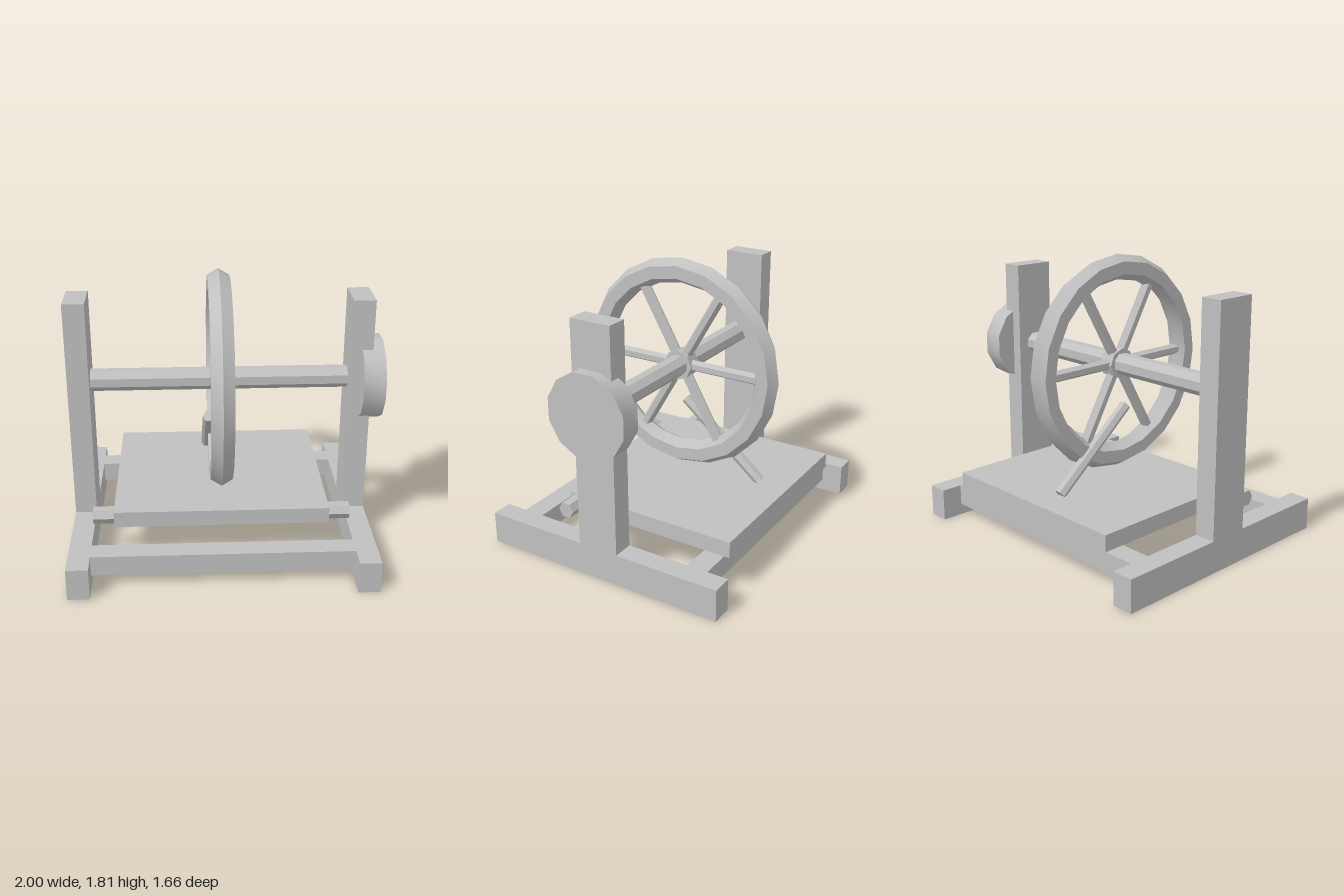
import * as THREE from 'three';
import { toCreasedNormals } from 'three/addons/utils/BufferGeometryUtils.js';

export function createModel() {
  const model = new THREE.Group();
  model.name = 'treadleWheel';
  const grey = new THREE.MeshStandardMaterial({ color: 0xc0c0c0 });
  grey.name = 'plain grey';

  const add = (name, geometry, parent = model) => {
    const mesh = new THREE.Mesh(toCreasedNormals(geometry, 0.6), grey);
    mesh.name = name;
    parent.add(mesh);
    return mesh;
  };

  // Box given by its limits on each axis
  const box = (name, x0, x1, y0, y1, z0, z1) =>
    add(name, new THREE.BoxGeometry(x1 - x0, y1 - y0, z1 - z0))
      .position.set((x0 + x1) / 2, (y0 + y1) / 2, (z0 + z1) / 2);

  // Prism lying along x, with its first corner turned by the given angle
  const rod = (name, x0, x1, y, z, radius, sides, turn = 0) => {
    const g = new THREE.CylinderGeometry(radius, radius, x1 - x0, sides);
    g.rotateY(turn).rotateZ(Math.PI / 2);
    add(name, g).position.set((x0 + x1) / 2, y, z);
  };

  const left = -0.86, right = 0.79, thick = 0.138, axleY = 1.108;

  // Frame: two uprights on feet, joined by two rails
  for (const x of [left - thick, right]) {
    box('foot', x, x + thick, 0, 0.21, -0.828, 0.828);
    box('upright', x, x + thick, 0.21, 1.66, -0.137, 0.137);
  }
  for (const z of [-0.62, 0.617]) box('rail', left, right, 0.075, 0.209, z - 0.068, z + 0.068);

  // Treadle board on its pivot
  box('treadle', -0.725, 0.655, 0.255, 0.36, -0.76, 0.412);
  rod('treadlePivot', left, right, 0.308, 0.346, 0.055, 6);

  // Main axle and end disc
  rod('axle', left, right, axleY, 0, 0.072, 8, Math.PI / 8);
  rod('endDisc', 0.86, 1, axleY, 0, 0.274, 12, Math.PI / 12);

  // Flywheel: hexagonal rim, hub and six spokes
  const wheel = new THREE.Group();
  wheel.name = 'flywheel';
  wheel.position.set(-0.035, axleY, 0);
  model.add(wheel);
  add('rim', new THREE.TorusGeometry(0.62, 0.081, 6, 20).rotateY(Math.PI / 2), wheel);
  add('hub', new THREE.CylinderGeometry(0.1, 0.1, 0.1, 8).rotateZ(Math.PI / 2), wheel);
  for (let i = 0; i < 6; i++) {
    const g = new THREE.CylinderGeometry(0.037, 0.037, 0.555, 6);
    g.translate(0, 0.2775, 0).rotateX(Math.PI / 2 + (i * Math.PI) / 3);
    add('spoke', g, wheel);
  }

  // Connecting rod from the treadle up towards the wheel
  const low = new THREE.Vector3(-0.108, 0.37, -0.56);
  const high = new THREE.Vector3(-0.108, 0.836, 0.005);
  const along = high.clone().sub(low);
  const link = new THREE.CylinderGeometry(0.037, 0.037, along.length(), 6).rotateY(Math.PI / 6);
  link.rotateX(Math.atan2(along.z, along.y));
  add('connectingRod', link).position.copy(low).add(high).multiplyScalar(0.5);

  return model;
}
